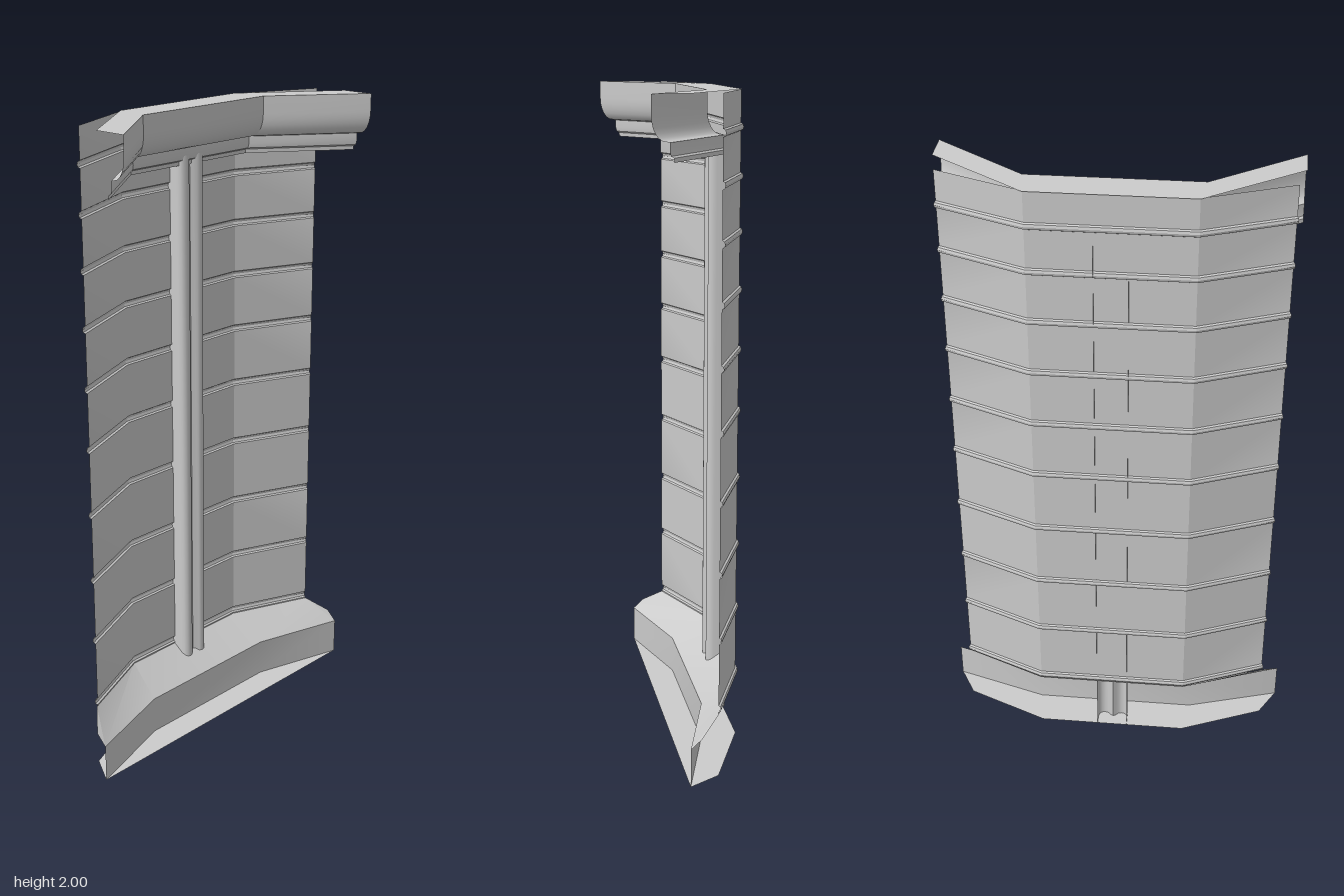
import * as THREE from 'three';
import { toCreasedNormals } from 'three/addons/utils/BufferGeometryUtils.js';

const material = new THREE.MeshStandardMaterial({ color: 0xcccccc, side: THREE.DoubleSide });

// Skin a sheet between successive rows of [x, y, z] points.
function loft(name, rows, crease = 0.5) {
  const n = rows[0].length;
  const index = [];
  for (let r = 0; r < rows.length - 1; r++) {
    for (let c = 0; c < n - 1; c++) {
      const a = r * n + c, b = a + n;
      index.push(a, a + 1, b, a + 1, b + 1, b);
    }
  }
  const geometry = new THREE.BufferGeometry();
  geometry.setAttribute('position', new THREE.Float32BufferAttribute(rows.flat(2), 3));
  geometry.setIndex(index);
  const mesh = new THREE.Mesh(toCreasedNormals(geometry, crease), material);
  mesh.name = name;
  return mesh;
}

// A row across the three bays, from the +z end to the -z end.
const bayRow = (y, endX, endZ, midX, midZ) => [
  [endX, y, endZ], [midX, y, midZ], [midX, y, -midZ], [endX, y, -endZ],
];

export function createModel() {
  const group = new THREE.Group();

  // Bent wall with thin horizontal beads on its convex side
  const wallRow = (y, d) => bayRow(y, -0.044 - 0.9 * d, 0.503 + 0.6 * d, -0.152 - d, 0.24 + 0.2 * d);
  const wallRows = [wallRow(0.2, 0)];
  for (const y of [0.215, 0.43, 0.635, 0.85, 1.058, 1.245, 1.425, 1.595, 1.755, 1.895]) {
    for (let i = 0; i <= 4; i++) {
      const a = (i / 4) * Math.PI;
      wallRows.push(wallRow(y - 0.011 * Math.cos(a), 0.008 * Math.sin(a)));
    }
  }
  wallRows.push(wallRow(2, 0));
  group.add(loft('wall', wallRows, 0.3));

  // Cornice: hollow moulding, t runs from its back edge (0) to its front edge (1)
  const corniceProfile = [[0, 2], [1, 2], [1, 1.945]];
  for (let i = 1; i <= 6; i++) {
    const a = (i / 6) * Math.PI / 2;
    corniceProfile.push([0.62 + 0.38 * Math.cos(a), 1.945 - 0.07 * Math.sin(a)]);
  }
  corniceProfile.push([0.52, 1.873], [0.52, 1.85], [0.49, 1.837], [0.41, 1.832], [0.4, 1.82]);
  group.add(loft('cornice', corniceProfile.map(([t, y]) =>
    bayRow(y, 0.05 + 0.105 * t, 0.525, -0.158 + 0.108 * t, 0.24 + 0.015 * t))));

  // Base: sloping top, upright front and a flat floor
  const base = new THREE.Group();
  base.name = 'base';
  const slopeTop = [[-0.045, 0.2, 0.505], [-0.155, 0.2, 0.24], [-0.155, 0.2, -0.24], [-0.045, 0.2, -0.505]];
  const slopeFoot = bayRow(0.12, 0.05, 0.56, -0.04, 0.26);
  base.add(loft('baseSlope', [slopeTop, slopeFoot], 0.3));
  base.add(loft('baseFront', [slopeFoot, bayRow(0, 0.05, 0.56, -0.04, 0.26)], 0.3));
  for (const s of [1, -1]) {
    // Clipped corner at each end of the slope
    base.add(loft('slopeCorner', [
      [[-0.045, 0.2, 0.505 * s], [0.05, 0.12, 0.56 * s]],
      [[0.015, 0.152, 0.56 * s], [0.05, 0.12, 0.56 * s]],
    ]));
  }
  const floorShape = new THREE.Shape([
    [0.05, 0.56], [-0.045, 0.505], [-0.155, 0.24], [-0.155, -0.24], [-0.045, -0.505], [0.05, -0.56],
  ].map(([x, z]) => new THREE.Vector2(x, -z)));
  const floor = new THREE.Mesh(new THREE.ShapeGeometry(floorShape).rotateX(-Math.PI / 2), material);
  floor.name = 'baseFloor';
  base.add(floor);
  group.add(base);

  // Upright pilaster: open channel with two rounded ribs and a groove
  const half = [[-0.16, 0.05], [-0.122, 0.05], [-0.11, 0.047], [-0.102, 0.039],
    [-0.1, 0.028], [-0.103, 0.017], [-0.112, 0.009]];
  const channel = [...half, [-0.117, 0], ...half.map(([x, z]) => [x, -z]).reverse()];
  group.add(loft('pilaster', [0, 1.85].map((y) => channel.map(([x, z]) => [x, y, z])), 0.75));

  return group;
}
